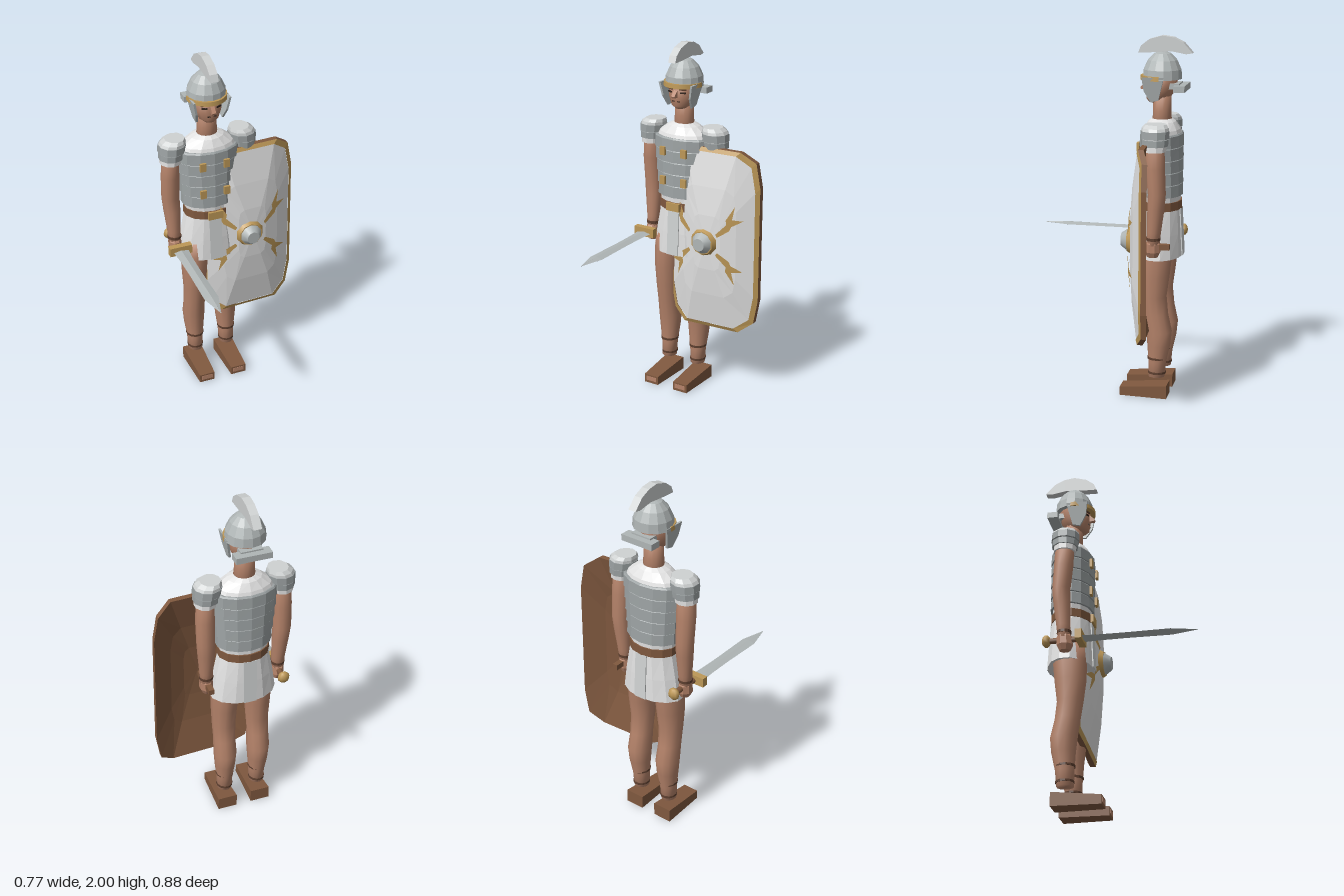
import * as THREE from 'three';

const paint = (name, color) => Object.assign(new THREE.MeshStandardMaterial({ color }), { name });
const M = {
  skin: paint('skin', 0xb5836a), brown: paint('brown leather', 0x80593f), strap: paint('dark leather', 0x5e4030),
  white: paint('white cloth', 0xe2e2e2), pale: paint('pale grey', 0xcfd2d2), helm: paint('helmet steel', 0xb0b6b6),
  steel: paint('armour steel', 0x9ca2a3), gold: paint('gold', 0xbd9857), dark: paint('dark line', 0x33261f),
};

function add(parent, name, geo, mat, x = 0, y = 0, z = 0) {
  const m = new THREE.Mesh(geo, mat);
  m.name = name;
  m.position.set(x, y, z);
  parent.add(m);
  return m;
}

const box = (p, name, mat, w, h, d, x, y, z) => add(p, name, new THREE.BoxGeometry(w, h, d), mat, x, y, z);

function build(pos, idx, smooth) {
  let g = new THREE.BufferGeometry();
  g.setAttribute('position', new THREE.Float32BufferAttribute(pos, 3));
  g.setIndex(idx);
  if (!smooth) g = g.toNonIndexed();
  g.computeVertexNormals();
  return g;
}

// Closed stack of ellipses, bottom to top: [y, centre x, centre z, radius x, radius z]
function loft(p, name, mat, rings, n = 14, smooth = false) {
  const pos = [], idx = [];
  rings.forEach(([y, cx, cz, rx, rz]) => {
    for (let i = 0; i < n; i++) {
      const t = ((i + 0.5) / n) * Math.PI * 2;
      pos.push(cx + rx * Math.cos(t), y, cz + rz * Math.sin(t));
    }
  });
  const last = rings.length - 1, bot = rings.length * n, top = bot + 1;
  pos.push(rings[0][1], rings[0][0], rings[0][2], rings[last][1], rings[last][0], rings[last][2]);
  for (let i = 0; i < n; i++) {
    const j = (i + 1) % n;
    for (let k = 0; k < last; k++) {
      const a = k * n, b = a + n;
      idx.push(a + i, b + i, a + j, b + i, b + j, a + j);
    }
    idx.push(bot, i, j, top, last * n + j, last * n + i);
  }
  return add(p, name, build(pos, idx, smooth), mat);
}

// Plate with a [z, y] outline, thick along x and centred on x
function sidePlate(p, name, mat, pts, x, w) {
  const shape = new THREE.Shape(pts.map(([z, y]) => new THREE.Vector2(-z, y)));
  const g = new THREE.ExtrudeGeometry(shape, { depth: w, bevelEnabled: false });
  g.translate(0, 0, -w / 2).rotateY(Math.PI / 2);
  return add(p, name, g, mat, x);
}

function makeHead(body) {
  const g = new THREE.Group();
  g.name = 'head';
  body.add(g);
  loft(g, 'neck', M.skin, [[1.5, 0, 0, 0.062, 0.056], [1.6, 0, 0, 0.054, 0.05], [1.68, 0, 0, 0.054, 0.05]], 14, true);
  loft(g, 'face', M.skin, [[1.642, 0, 0.035, 0.03, 0.035], [1.66, 0, 0.025, 0.055, 0.062],
    [1.71, 0, 0.01, 0.078, 0.083], [1.8, 0, 0, 0.085, 0.09]], 14, true);
  sidePlate(g, 'nose', M.skin, [[0.085, 1.755], [0.12, 1.72], [0.115, 1.71], [0.08, 1.71]], 0, 0.022);
  box(g, 'mouth', M.dark, 0.05, 0.006, 0.008, 0, 1.687, 0.084);
  for (const s of [-1, 1]) {
    box(g, 'eye', M.dark, 0.032, 0.009, 0.008, s * 0.04, 1.737, 0.08).rotation.y = s * 0.45;
    box(g, 'brow', M.strap, 0.04, 0.008, 0.008, s * 0.04, 1.756, 0.082).rotation.y = s * 0.45;
    const cheek = sidePlate(g, 'cheekGuard', M.helm,
      [[0.095, 1.785], [0.085, 1.71], [0.05, 1.65], [0.008, 1.66], [-0.025, 1.785]], s * 0.101, 0.012);
    const a = cheek.geometry.attributes.position;
    for (let i = 0; i < a.count; i++) a.setX(i, a.getX(i) + s * (a.getY(i) - 1.785) * 0.2);
    cheek.geometry.computeVertexNormals();
  }
  loft(g, 'helmetDome', M.helm, [[1.77, 0, 0, 0.108, 0.106], [1.82, 0, 0, 0.103, 0.103],
    [1.87, 0, 0, 0.08, 0.08], [1.905, 0, 0, 0.046, 0.046], [1.914, 0, 0, 0.02, 0.02]]);
  add(g, 'browBand', new THREE.CylinderGeometry(0.111, 0.113, 0.024, 14, 1, false, -Math.PI / 2, Math.PI),
    M.gold, 0, 1.777, 0).scale.z = 1.06;
  box(g, 'neckGuard', M.helm, 0.195, 0.034, 0.06, 0, 1.725, -0.105);
  box(g, 'neckGuardArm', M.helm, 0.12, 0.03, 0.06, 0, 1.735, -0.07);
  sidePlate(g, 'crest', M.pale, [[0.13, 1.908], [0.115, 1.945], [0.07, 1.98], [0, 2], [-0.06, 1.992],
    [-0.115, 1.965], [-0.165, 1.91], [-0.13, 1.904], [-0.05, 1.918], [0.06, 1.91]], 0, 0.045);
}

function makeTorso(body) {
  const g = new THREE.Group();
  g.name = 'torso';
  body.add(g);
  loft(g, 'tunicTop', M.white, [[1.06, 0, 0, 0.135, 0.106], [1.14, 0, 0, 0.142, 0.108], [1.47, 0, 0, 0.168, 0.11],
    [1.5, 0, 0, 0.15, 0.1], [1.54, 0, 0, 0.095, 0.075], [1.555, 0, 0, 0.06, 0.055]]);
  // Overlapping armour hoops
  for (let i = 0; i < 5; i++) {
    const y = 1.14 + i * 0.068, r = 0.153 + i * 0.0065;
    loft(g, 'armourBand', M.steel, [[y, 0, 0, r + 0.004, 0.12], [y + 0.062, 0, 0, r + 0.002, 0.117],
      [y + 0.07, 0, 0, r - 0.005, 0.11]]);
  }
  for (const x of [-0.068, 0.068]) for (const y of [1.405, 1.235]) {
    box(g, 'clasp', M.gold, 0.034, 0.048, 0.014, x, y, 0.117);
  }
  loft(g, 'belt', M.brown, [[1.063, 0, 0, 0.143, 0.115], [1.11, 0, 0, 0.143, 0.115]]);
  box(g, 'buckle', M.gold, 0.085, 0.046, 0.016, 0, 1.087, 0.117);
  loft(g, 'skirt', M.white, [[0.8, 0, 0, 0.185, 0.125], [0.93, 0, 0, 0.165, 0.12], [1.07, 0, 0, 0.138, 0.11]]);
  for (const s of [-1, 1]) {
    const panel = box(g, 'skirtPanel', M.pale, 0.072, 0.262, 0.006, 0, 0.933, s * 0.1175);
    panel.rotation.x = -s * 0.055;
  }
}

function makeLimbs(body, s) {
  const side = new THREE.Group();
  side.name = s > 0 ? 'leftLimbs' : 'rightLimbs';
  body.add(side);
  // Shoulder guard and sleeve
  loft(side, 'sleeve', M.white, [[1.41, s * 0.212, 0, 0.06, 0.062], [1.5, s * 0.205, 0, 0.062, 0.065]], 10);
  loft(side, 'lowerShoulderBand', M.steel, [[1.44, s * 0.208, 0, 0.07, 0.072], [1.475, s * 0.206, 0, 0.07, 0.074]], 10);
  loft(side, 'upperShoulderBand', M.steel, [[1.48, s * 0.204, 0, 0.077, 0.078], [1.52, s * 0.2, 0, 0.077, 0.078]], 10);
  loft(side, 'shoulderCap', M.pale, [[1.52, s * 0.2, 0, 0.074, 0.075], [1.535, s * 0.195, 0, 0.07, 0.072],
    [1.552, s * 0.185, 0, 0.056, 0.058]], 10);
  // Arm and fist
  loft(side, 'arm', M.skin, [[0.89, s * 0.205, 0.005, 0.034, 0.034], [0.97, s * 0.206, 0, 0.037, 0.038],
    [1.1, s * 0.21, -0.01, 0.047, 0.046], [1.18, s * 0.214, -0.015, 0.05, 0.048], [1.32, s * 0.214, -0.005, 0.052, 0.052],
    [1.46, s * 0.21, 0, 0.048, 0.052]], 12, true);
  loft(side, 'hand', M.skin, [[0.83, s * 0.2, 0.008, 0.026, 0.03], [0.86, s * 0.203, 0.008, 0.038, 0.045],
    [0.905, s * 0.205, 0.006, 0.036, 0.042], [0.92, s * 0.205, 0.005, 0.032, 0.032]], 8);
  loft(side, 'wristBand', M.strap, [[0.925, s * 0.205, 0.004, 0.039, 0.039], [0.94, s * 0.205, 0.004, 0.039, 0.039]], 12);
  // Leg, ankle straps and shoe
  loft(side, 'leg', M.skin, [[0.115, s * 0.097, 0, 0.042, 0.046], [0.2, s * 0.097, -0.004, 0.046, 0.05],
    [0.3, s * 0.098, -0.012, 0.058, 0.064], [0.38, s * 0.098, -0.012, 0.064, 0.072], [0.48, s * 0.098, 0.006, 0.061, 0.068],
    [0.58, s * 0.097, 0.018, 0.066, 0.07], [0.7, s * 0.096, 0.017, 0.073, 0.085], [0.81, s * 0.093, 0.012, 0.077, 0.092],
    [0.9, s * 0.088, 0.005, 0.075, 0.09]], 12, true);
  for (const [y, r] of [[0.14, 0.046], [0.225, 0.051]]) {
    loft(side, 'ankleStrap', M.strap, [[y - 0.006, s * 0.097, -0.003, r, r + 0.004],
      [y + 0.006, s * 0.097, -0.003, r, r + 0.004]], 12);
  }
  const shoe = new THREE.BoxGeometry(0.11, 0.075, 0.265), a = shoe.attributes.position;
  for (let i = 0; i < a.count; i++) {
    if (a.getZ(i) < 0) continue;
    a.setX(i, a.getX(i) * 0.82);
    if (a.getY(i) > 0) a.setY(i, 0.0125);
  }
  shoe.computeVertexNormals();
  add(side, 'shoe', shoe, M.brown, s * 0.098, 0.0375, 0.0675);
  box(side, 'toes', M.skin, 0.066, 0.026, 0.006, s * 0.098, 0.028, 0.199);
}

function makeSword() {
  const g = new THREE.Group();
  g.name = 'sword';
  g.position.set(-0.313, 0.89, 0);
  // Diamond section blade, tapering to a point
  const pos = [], idx = [];
  for (const [z, w] of [[-0.17, 0.043], [-0.08, 0.037], [0.05, 0.035], [0.3, 0.039], [0.44, 0.001]]) {
    const h = w > 0.01 ? 0.009 : 0.001;
    pos.push(w, 0, z, 0, h, z, -w, 0, z, 0, -h, z);
  }
  for (let k = 0; k < 4; k++) for (let i = 0; i < 4; i++) {
    const a = k * 4 + i, b = k * 4 + ((i + 1) % 4);
    idx.push(a, b, a + 4, b, b + 4, a + 4);
  }
  add(g, 'blade', build(pos, idx), M.helm);
  box(g, 'guard', M.gold, 0.128, 0.052, 0.036, 0, 0.005, -0.183);
  add(g, 'grip', new THREE.CylinderGeometry(0.016, 0.016, 0.17, 8).rotateX(Math.PI / 2), M.brown, 0, 0, -0.28);
  add(g, 'pommel', new THREE.SphereGeometry(0.034, 8, 6), M.gold, 0, 0, -0.367).scale.z = 0.72;
  return g;
}

function makeShield() {
  const g = new THREE.Group();
  g.name = 'shield';
  g.position.set(0.11, 0.92, 0);
  const bow = (x, y) => -0.15 - 1.15 * x * x - 0.12 * y * y - 0.05 * x;
  const quarter = [[0.275, 0.33], [0.25, 0.47], [0.17, 0.53]];
  const flip = (sx, sy) => quarter.map(([x, y]) => [x * sx, y * sy]);
  const rim = [...flip(1, 1), ...flip(-1, 1).reverse(), ...flip(-1, -1), ...flip(1, -1).reverse()];
  const n = rim.length;
  // Bowed surface between scaled copies of the outline, each [scale, z offset]
  const skin = (name, mat, steps) => {
    const pos = [], idx = [];
    for (const [k, dz] of steps) for (const [x, y] of rim) {
      const px = Math.sign(x) * (Math.abs(x) - 0.275 * (1 - k)) , inset = k > 0.8;
      const X = inset ? px : x * k, Y = inset ? Math.sign(y) * (Math.abs(y) - 0.275 * (1 - k)) : y * k;
      pos.push(X, Y, bow(X, Y) + dz);
    }
    for (let r = 0; r < steps.length - 1; r++) for (let i = 0; i < n; i++) {
      const a = r * n + i, b = r * n + ((i + 1) % n);
      idx.push(a, b, a + n, b, b + n, a + n);
    }
    add(g, name, build(pos, idx), mat);
  };
  skin('shieldFace', M.white, [[0.92, 0], [0.6, 0], [0.3, 0], [0.001, 0]]);
  skin('shieldRim', M.gold, [[1, 0.003], [0.92, 0.003]]);
  skin('shieldEdge', M.brown, [[1, -0.027], [1, 0.003]]);
  skin('shieldBack', M.brown, [[0.001, -0.027], [0.3, -0.027], [0.6, -0.027], [1, -0.027]]);
  // Boss
  const cone = (name, mat, r0, r1, z0, z1) =>
    add(g, name, new THREE.CylinderGeometry(r1, r0, z1 - z0, 10).rotateX(Math.PI / 2), mat, -0.018, 0, (z0 + z1) / 2);
  cone('bossRing', M.gold, 0.085, 0.068, -0.165, -0.134);
  cone('boss', M.helm, 0.064, 0.037, -0.136, -0.097);
  // Forked flashes around the boss
  for (const sx of [-1, 1]) for (const sy of [-1, 1]) {
    const pts = [[0.08, 0.062], [0.14, 0.125], [0.135, 0.15], [0.182, 0.232], [0.168, 0.155], [0.225, 0.15],
      [0.165, 0.115], [0.155, 0.09], [0.09, 0.045]];
    const shape = new THREE.Shape(pts.map(([x, y]) => new THREE.Vector2(sx * x - 0.018, sy * y)));
    const geo = new THREE.ShapeGeometry(shape), a = geo.attributes.position;
    for (let i = 0; i < a.count; i++) a.setZ(i, bow(a.getX(i), a.getY(i)) + 0.012);
    geo.computeVertexNormals();
    add(g, 'flash', geo, M.gold);
  }
  // Grip held by the left hand
  box(g, 'shieldGrip', M.brown, 0.03, 0.03, 0.19, -0.015, -0.03, -0.265);
  return g;
}

export function createModel() {
  const model = new THREE.Group();
  model.name = 'soldier';
  const body = new THREE.Group();
  body.name = 'body';
  body.position.set(-0.11, 0, -0.275);
  model.add(body);
  makeHead(body);
  makeTorso(body);
  for (const s of [-1, 1]) makeLimbs(body, s);
  model.add(makeSword(), makeShield());
  return model;
}
